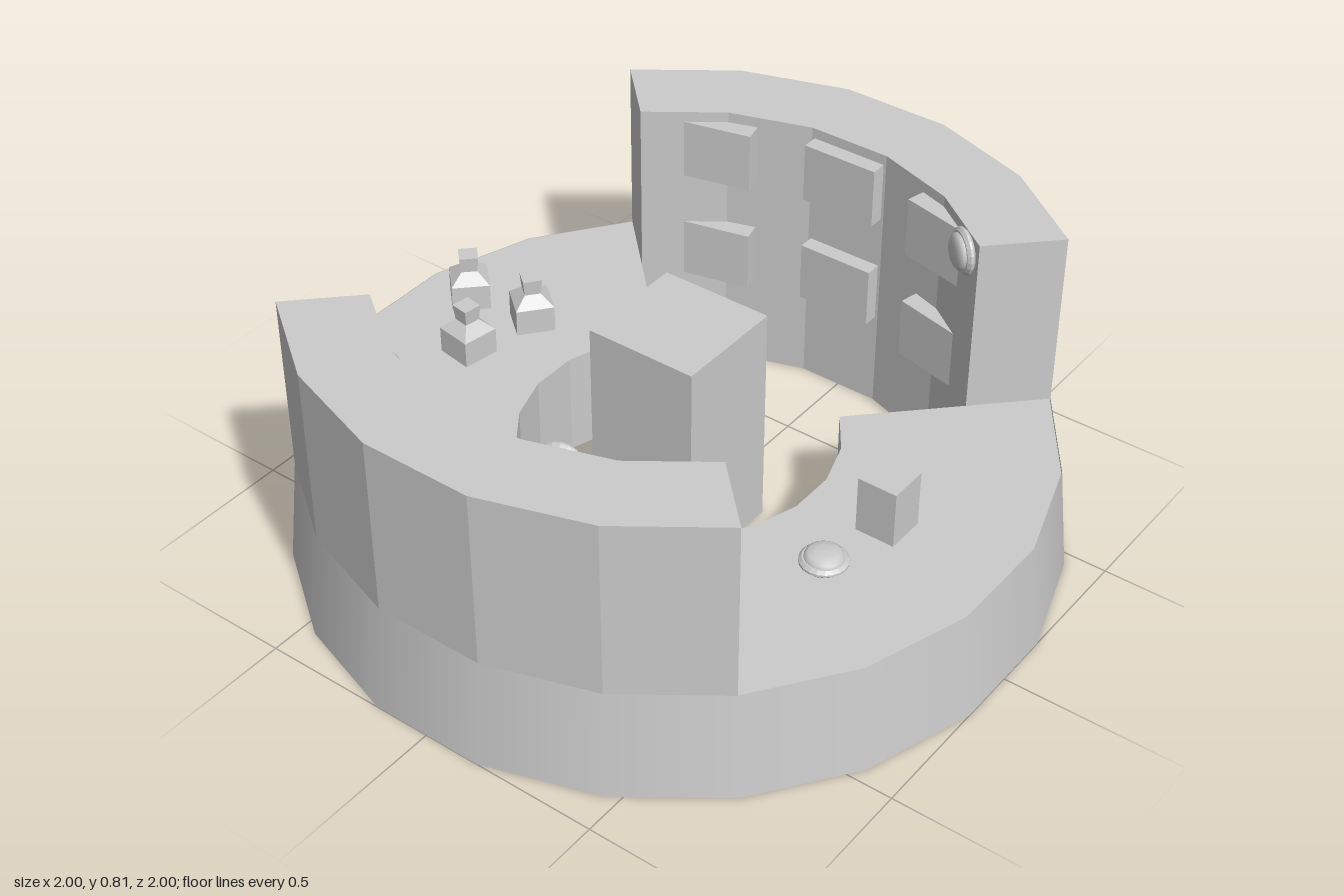
import * as THREE from 'three';

const Q = Math.PI / 4;
const STEPS = 5; // facets per quarter
const R_BOTTOM = 1.0125, R_TOP = 0.98, R_WALL = 0.754, R_COUNTER = 0.42;
const COUNTER_Y = 0.3, WALL_Y = 0.8;

const flat = new THREE.MeshStandardMaterial({ color: 0xcccccc, flatShading: true, side: THREE.DoubleSide });
const smooth = new THREE.MeshStandardMaterial({ color: 0xcccccc, side: THREE.DoubleSide });

function add(parent, name, geometry, material = flat) {
  const mesh = new THREE.Mesh(geometry, material);
  mesh.name = name;
  parent.add(mesh);
  return mesh;
}

// Quarter of a faceted ring, extruded upward; start is its first angle
function sector(inner, outer, start, y0, y1) {
  const pts = [];
  const at = (r, i) => {
    const a = start + (i / STEPS) * 2 * Q;
    return new THREE.Vector2(r * Math.cos(a), r * Math.sin(a));
  };
  for (let i = 0; i <= STEPS; i++) pts.push(at(outer, i));
  for (let i = STEPS; i >= 0; i--) pts.push(at(inner, i));
  const g = new THREE.ExtrudeGeometry(new THREE.Shape(pts), { depth: y1 - y0, bevelEnabled: false });
  return g.rotateX(-Math.PI / 2).translate(0, y0, 0);
}

// Counter block whose outer side flares out toward the ground
function counterGeometry(start) {
  const g = sector(R_COUNTER, R_TOP - 0.002, start, 0, COUNTER_Y);
  const p = g.attributes.position;
  const flare = R_BOTTOM / R_TOP;
  for (let i = 0; i < p.count; i++) {
    if (p.getY(i) < 0.01 && Math.hypot(p.getX(i), p.getZ(i)) > 0.9) {
      p.setXYZ(i, p.getX(i) * flare, 0, p.getZ(i) * flare);
    }
  }
  g.computeVertexNormals();
  return g;
}

function openQuarter(rTop, rBottom, y0, y1, start) {
  return new THREE.CylinderGeometry(rTop, rBottom, y1 - y0, STEPS, 1, true, start, 2 * Q)
    .translate(0, (y0 + y1) / 2, 0);
}

const lathe = (points, sides) =>
  new THREE.LatheGeometry(points.map(([r, y]) => new THREE.Vector2(r, y)), sides);

export function createModel() {
  const model = new THREE.Group();
  model.name = 'roundBarBooth';

  // Flared outer skirt in four quarters
  for (let i = 0; i < 4; i++) {
    add(model, 'outerSkirt', openQuarter(R_TOP, R_BOTTOM, 0, COUNTER_Y, Q + i * 2 * Q), smooth);
  }

  // Low counters at the two sides
  add(model, 'leftCounter', counterGeometry(-Q));
  add(model, 'rightCounter', counterGeometry(3 * Q));

  // Tall walls, with an inner lining that runs down to the ground
  add(model, 'backWall', sector(R_WALL, R_TOP, Q, COUNTER_Y, WALL_Y));
  add(model, 'frontWall', sector(R_WALL, R_TOP, 5 * Q, COUNTER_Y, WALL_Y));
  add(model, 'backWallLining', openQuarter(R_WALL, R_WALL, 0, COUNTER_Y, 3 * Q));
  add(model, 'frontWallLining', openQuarter(R_WALL, R_WALL, 0, COUNTER_Y, -Q));

  // Central pillar
  add(model, 'centrePillar', new THREE.BoxGeometry(0.316, 0.64, 0.316).translate(0, 0.32, 0));

  // Two rows of panels on the back wall
  for (const y of [0.685, 0.365]) {
    for (const side of [-1, 0, 1]) {
      const panel = add(model, 'wallPanel', new THREE.BoxGeometry(0.22, 0.17, 0.06));
      panel.position.set(side * 0.365, y, side ? -0.65 : -0.73);
      panel.rotation.y = -side * 0.23;
    }
  }

  // Small box on the left counter
  add(model, 'counterBox', new THREE.BoxGeometry(0.11, 0.16, 0.11)).position.set(0.635, COUNTER_Y + 0.08, -0.005);

  // Square bottles on the right counter
  const bottle = lathe([[0, 0], [0.074, 0], [0.074, 0.075], [0.031, 0.105], [0.037, 0.15], [0, 0.15]], 4);
  for (const [x, z, turn] of [[-0.81, -0.12, 0], [-0.605, -0.14, 0.1], [-0.655, 0.065, 0.62]]) {
    const b = add(model, 'bottle', bottle);
    b.position.set(x, COUNTER_Y, z);
    b.rotation.y = turn;
  }

  // Domed round lamps: a rim with a shallow dome
  const rim = lathe([[0, 0], [0.055, 0], [0.063, 0.008], [0.063, 0.014], [0.055, 0.022], [0, 0.022]], 20);
  const dome = lathe([[0.051, 0.02], [0.049, 0.029], [0.04, 0.036], [0.022, 0.04], [0, 0.041]], 20);
  function lamp(name, x, y, z) {
    const g = new THREE.Group();
    g.name = name;
    add(g, 'rim', rim);
    add(g, 'dome', dome, smooth);
    g.position.set(x, y, z);
    model.add(g);
    return g;
  }
  lamp('counterLamp', 0.59, COUNTER_Y, 0.2);
  lamp('counterLamp', -0.8, COUNTER_Y, 0.27);

  // Wall lamps face the centre along the normal of their facet
  const up = new THREE.Vector3(0, 1, 0);
  for (const [x, z, angle, dir] of [[0.475, -0.576, 36, -1], [0.207, 0.716, 18, 1]]) {
    const a = THREE.MathUtils.degToRad(angle);
    const inward = new THREE.Vector3(-Math.sin(a), 0, -dir * Math.cos(a));
    lamp('wallLamp', x, 0.742, z).quaternion.setFromUnitVectors(up, inward);
  }

  return model;
}
